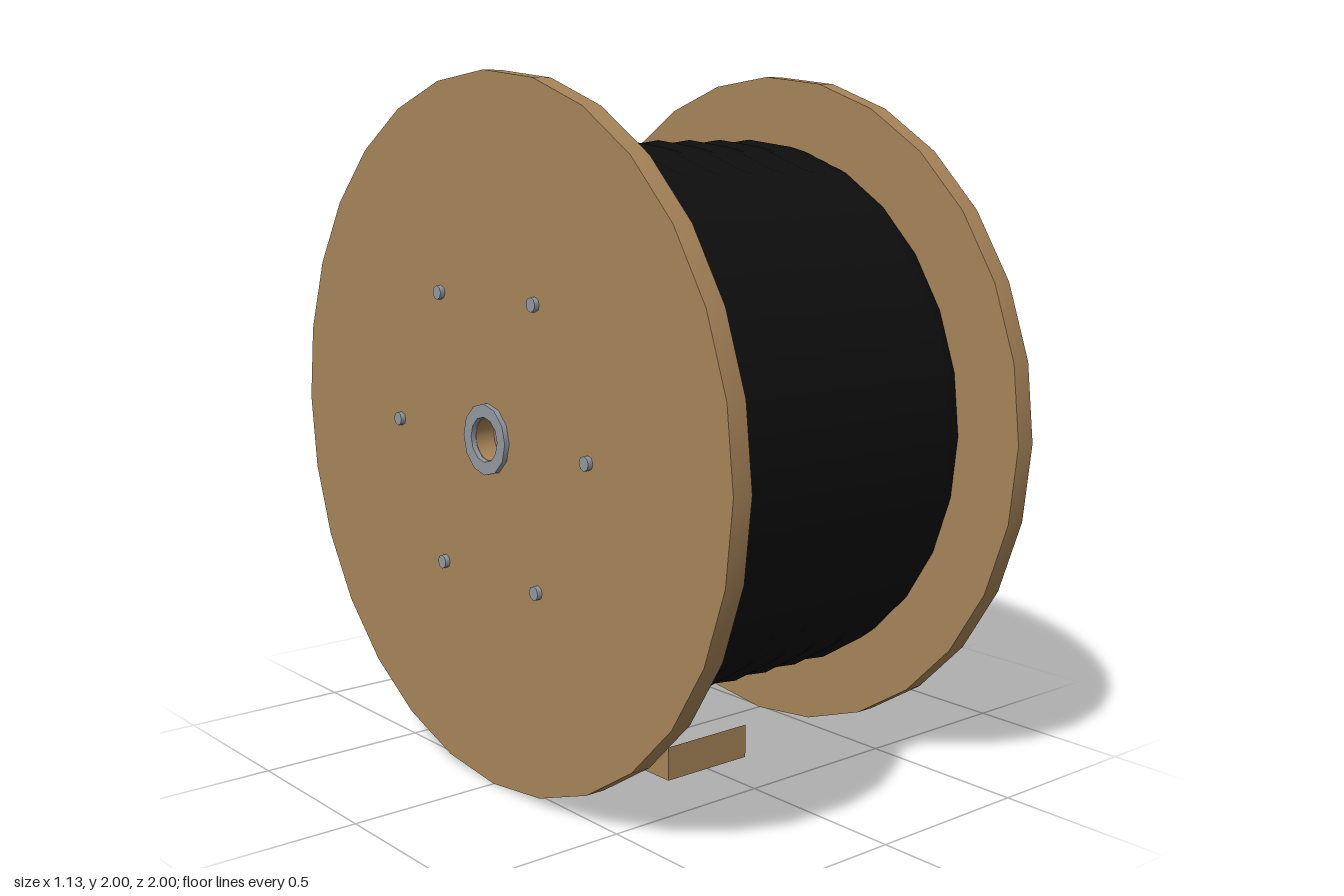
import * as THREE from 'three';
import { toCreasedNormals } from 'three/addons/utils/BufferGeometryUtils.js';

const SIDES = 28;

// Spin a closed (radius, offset) profile around the x axis, keeping corners sharp
function spin(profile, sides) {
  const points = profile.map(([r, h]) => new THREE.Vector2(r, h));
  const geometry = new THREE.LatheGeometry(points, sides);
  geometry.rotateZ(-Math.PI / 2);
  return toCreasedNormals(geometry, 0.6);
}

// Ring with a square cross-section from x0 to x1
function ring(inner, outer, x0, x1, sides) {
  return spin([[inner, x0], [outer, x0], [outer, x1], [inner, x1], [inner, x0]], sides);
}

export function createModel() {
  const wood = new THREE.MeshStandardMaterial({ color: 0xa78459 });
  wood.name = 'wood';
  const cableBlack = new THREE.MeshStandardMaterial({ color: 0x0e0e0e });
  cableBlack.name = 'cable black';
  const steel = new THREE.MeshStandardMaterial({ color: 0x9299a1 });
  steel.name = 'steel';

  const model = new THREE.Group();
  model.name = 'cableDrum';
  const add = (name, geometry, material, x = 0, y = 0, z = 0) => {
    const mesh = new THREE.Mesh(geometry, material);
    mesh.name = name;
    mesh.position.set(x, y, z);
    model.add(mesh);
    return mesh;
  };

  // Central barrel
  const barrel = new THREE.CylinderGeometry(0.45, 0.45, 0.98, SIDES);
  barrel.rotateZ(Math.PI / 2);
  add('barrel', barrel, wood, 0, 1, 0);

  // Wound cable: eight shallow ridges across the width
  const ridges = 8;
  const winding = [[0.44, -0.48]];
  for (let i = 0; i <= ridges * 2; i++) {
    winding.push([i % 2 ? 0.812 : 0.798, -0.48 + (0.96 * i) / (ridges * 2)]);
  }
  winding.push([0.44, 0.48]);
  add('cableWinding', spin(winding, SIDES), cableBlack, 0, 1, 0);

  // Flanges, hub washers and bolts on both sides
  const flange = ring(0.06, 1, -0.03, 0.03, SIDES);
  const washer = ring(0.063, 0.1, -0.0075, 0.0075, 12);
  const bolt = new THREE.CylinderGeometry(0.02, 0.02, 0.016, 8);
  bolt.rotateZ(Math.PI / 2);
  for (const side of [1, -1]) {
    const label = side > 0 ? 'left' : 'right';
    add(label + 'Flange', flange, wood, side * 0.52, 1, 0);
    add(label + 'Washer', washer, steel, side * 0.5575, 1, 0);
    for (let i = 0; i < 6; i++) {
      const a = (i * Math.PI) / 3;
      add(label + 'Bolt' + (i + 1), bolt, steel,
        side * 0.557, 1 + 0.45 * Math.sin(a), 0.45 * Math.cos(a));
    }
  }

  // Wedge chocks, tall outside and thin towards the middle
  const wedge = new THREE.Shape();
  wedge.moveTo(0.1, 0);
  wedge.lineTo(0.3, 0);
  wedge.lineTo(0.3, 0.1);
  wedge.closePath();
  const chock = new THREE.ExtrudeGeometry(wedge, { depth: 0.3, bevelEnabled: false });
  chock.translate(0, 0, -0.15);
  add('frontChock', chock, wood).rotation.y = -Math.PI / 2;
  add('backChock', chock, wood).rotation.y = Math.PI / 2;

  return model;
}
